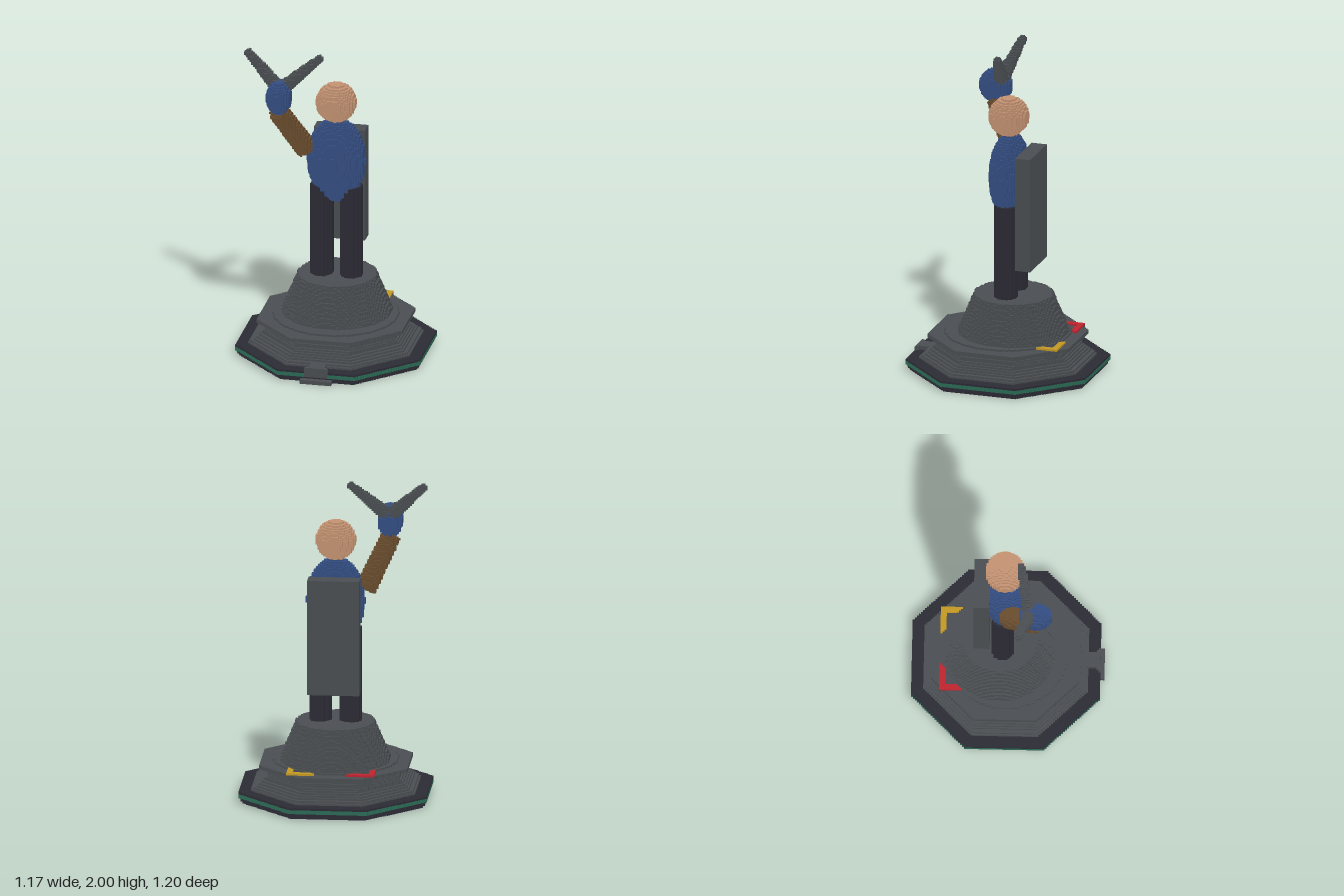
import * as THREE from 'three';

// Everything is made of small cubes on one shared grid; the first part to claim a cell owns it.
const V = 0.0125;
const N = [98, 162, 98], O = [49, 1, 49];

const mat = (name, color) => {
  const m = new THREE.MeshStandardMaterial({ color });
  m.name = name;
  return m;
};

// Shape tests: each returns a function telling whether a point is inside.
const box = (x0, x1, y0, y1, z0, z1) => (x, y, z) => x > x0 && x < x1 && y > y0 && y < y1 && z > z0 && z < z1;
const ellipsoid = (cx, cy, cz, rx, ry, rz) => (x, y, z) =>
  ((x - cx) / rx) ** 2 + ((y - cy) / ry) ** 2 + ((z - cz) / rz) ** 2 < 1;
const rod = (a, b, r0, r1) => {
  const d = b.map((v, i) => v - a[i]);
  const len2 = d[0] ** 2 + d[1] ** 2 + d[2] ** 2;
  return (x, y, z) => {
    const p = [x - a[0], y - a[1], z - a[2]];
    const t = (p[0] * d[0] + p[1] * d[1] + p[2] * d[2]) / len2;
    if (t < 0 || t > 1) return false;
    return Math.hypot(...p.map((v, i) => v - d[i] * t)) < r0 + (r1 - r0) * t;
  };
};
// Stack of octagonal or round layers; profile lists [y, radius] from bottom to top.
const radiusAt = (profile, y) => {
  for (let i = 1; i < profile.length; i++) {
    const [y0, r0] = profile[i - 1], [y1, r1] = profile[i];
    if (y >= y0 && y < y1) return r0 + ((r1 - r0) * (y - y0)) / (y1 - y0);
  }
  return -1;
};
const octagon = (profile, cz = -0.0125) => (x, y, z) => {
  const ax = Math.abs(x), az = Math.abs(z - cz);
  return Math.max(ax, az, (ax + az) * Math.SQRT1_2) < radiusAt(profile, y);
};
const round = (profile, cz) => (x, y, z) => Math.hypot(x, z - cz) < radiusAt(profile, y);
const any = (...tests) => (x, y, z) => tests.some((t) => t(x, y, z));

// Corner bracket: two mitred bars on top of an inverted corner wedge.
const bracket = (side) => (x, y, z) => {
  const u = 0.275 - side * x, w = z + 0.425;
  return y > 0.2375 && y < 0.25 && u > 0 && w > 0 && Math.min(u, w) < 0.034 &&
    (u < w ? u + w < 0.14 : u + w < 0.178);
};
const wedge = (x, y, z) => {
  const k = (0.2375 - y) * 0.5;
  const u = 0.275 - Math.abs(x) - k, w = z + 0.425 - k;
  return y > 0.1 && y < 0.2375 && u > 0 && w > 0 && u + w < 0.19;
};

function buildGeometry(cells, id) {
  const pos = [], nor = [], idx = [];
  const at = (c) => cells[(c[1] * N[2] + c[2]) * N[0] + c[0]];
  for (let d = 0; d < 3; d++) {
    const run = d === 0 ? 2 : 0, row = 3 - d - run;
    const flip = (run - d + 3) % 3 === 1 ? 1 : -1;
    for (const s of [1, -1]) {
      for (let i = 1; i < N[d] - 1; i++) for (let j = 1; j < N[row] - 1; j++) {
        let start = -1;
        for (let k = 1; k < N[run]; k++) {
          const c = [0, 0, 0];
          c[d] = i; c[row] = j; c[run] = k;
          let open = at(c) === id;
          if (open) {
            c[d] += s;
            open = at(c) === 0;
          }
          if (open && start < 0) start = k;
          if (!open && start >= 0) {
            // One strip covers the whole run of open cube faces.
            const base = pos.length / 3;
            for (const [e, f] of [[start, j], [k, j], [k, j + 1], [start, j + 1]]) {
              const p = [0, 0, 0], n = [0, 0, 0];
              p[d] = i + (s > 0 ? 1 : 0); p[run] = e; p[row] = f;
              n[d] = s;
              pos.push(...p.map((v, a) => (v - O[a]) * V));
              nor.push(...n);
            }
            const q = s * flip > 0 ? [0, 1, 2, 0, 2, 3] : [0, 2, 1, 0, 3, 2];
            idx.push(...q.map((v) => v + base));
            start = -1;
          }
        }
      }
    }
  }
  const g = new THREE.BufferGeometry();
  g.setAttribute('position', new THREE.Float32BufferAttribute(pos, 3));
  g.setAttribute('normal', new THREE.Float32BufferAttribute(nor, 3));
  g.setIndex(idx);
  return g;
}

export function createModel() {
  const grey = mat('stone grey', 0x4a4e52), dark = mat('charcoal', 0x2c2b35);
  const blue = mat('blue', 0x344e82), brown = mat('brown', 0x6a4d2e);
  const skin = mat('skin', 0xc49372), green = mat('green', 0x2b6b55);
  const red = mat('red', 0xc0242f), yellow = mat('yellow', 0xc49a24);

  const fork = [-0.32, 1.77, 0.14];
  const parts = [
    // Pedestal
    ['frontStep', grey, any(
      box(-0.1, 0.1, 0, 0.025, 0.55, 0.6),
      (x, y, z) => y > 0.0375 && y < 0.1 && z > 0.49 && z < 0.575 &&
        Math.abs(x) < 0.045 + Math.max(0, z - 0.54) * 1.2)],
    ['greenBand', green, octagon([[0.0375, 0.585], [0.0625, 0.585]])],
    ['baseSlab', dark, octagon([[0, 0.555], [0.0375, 0.585], [0.075, 0.585]])],
    ['redBracket', red, bracket(-1)],
    ['yellowBracket', yellow, bracket(1)],
    ['bracketSupports', grey, wedge],
    ['plinth', grey, octagon([[0.075, 0.52], [0.14, 0.435], [0.2, 0.4], [0.2, 0.425],
      [0.2125, 0.425], [0.2125, 0.46], [0.2375, 0.46]])],
    ['plinthDisc', grey, round([[0.2375, 0.39], [0.25, 0.39]], -0.0125)],
    ['cone', grey, round([[0.25, 0.345], [0.5, 0.242]], -0.05)],
    // Figure
    ['legs', dark, (x, y, z) => y > 0.5 && y < 1.1 && Math.hypot(Math.abs(x) - 0.096, z + 0.033) < 0.07],
    ['backSlab', grey, box(-0.1625, 0.1625, 0.7, 1.4375, -0.2125, -0.1125)],
    ['head', skin, ellipsoid(0, 1.655, -0.018, 0.123, 0.123, 0.123)],
    ['raisedArm', brown, rod([-0.185, 1.34, 0.005], [-0.33, 1.64, 0.17], 0.065, 0.06)],
    ['torso', blue, ellipsoid(0, 1.27, -0.025, 0.182, 0.275, 0.12)],
    ['forkProngs', grey, any(
      rod(fork, [-0.55, 1.99, 0.07], 0.045, 0.022),
      rod(fork, [-0.07, 1.99, 0.08], 0.045, 0.022))],
    ['hand', blue, ellipsoid(-0.322, 1.735, 0.175, 0.077, 0.107, 0.104)],
  ];

  const cells = new Uint8Array(N[0] * N[1] * N[2]);
  for (let j = 1; j < N[1] - 1; j++) for (let k = 1; k < N[2] - 1; k++) for (let i = 1; i < N[0] - 1; i++) {
    const p = [i, j, k].map((v, a) => (v + 0.5 - O[a]) * V);
    cells[(j * N[2] + k) * N[0] + i] = parts.findIndex((part) => part[2](...p)) + 1;
  }

  const group = new THREE.Group();
  group.name = 'statue';
  parts.forEach(([name, material], i) => {
    const mesh = new THREE.Mesh(buildGeometry(cells, i + 1), material);
    mesh.name = name;
    group.add(mesh);
  });
  return group;
}
